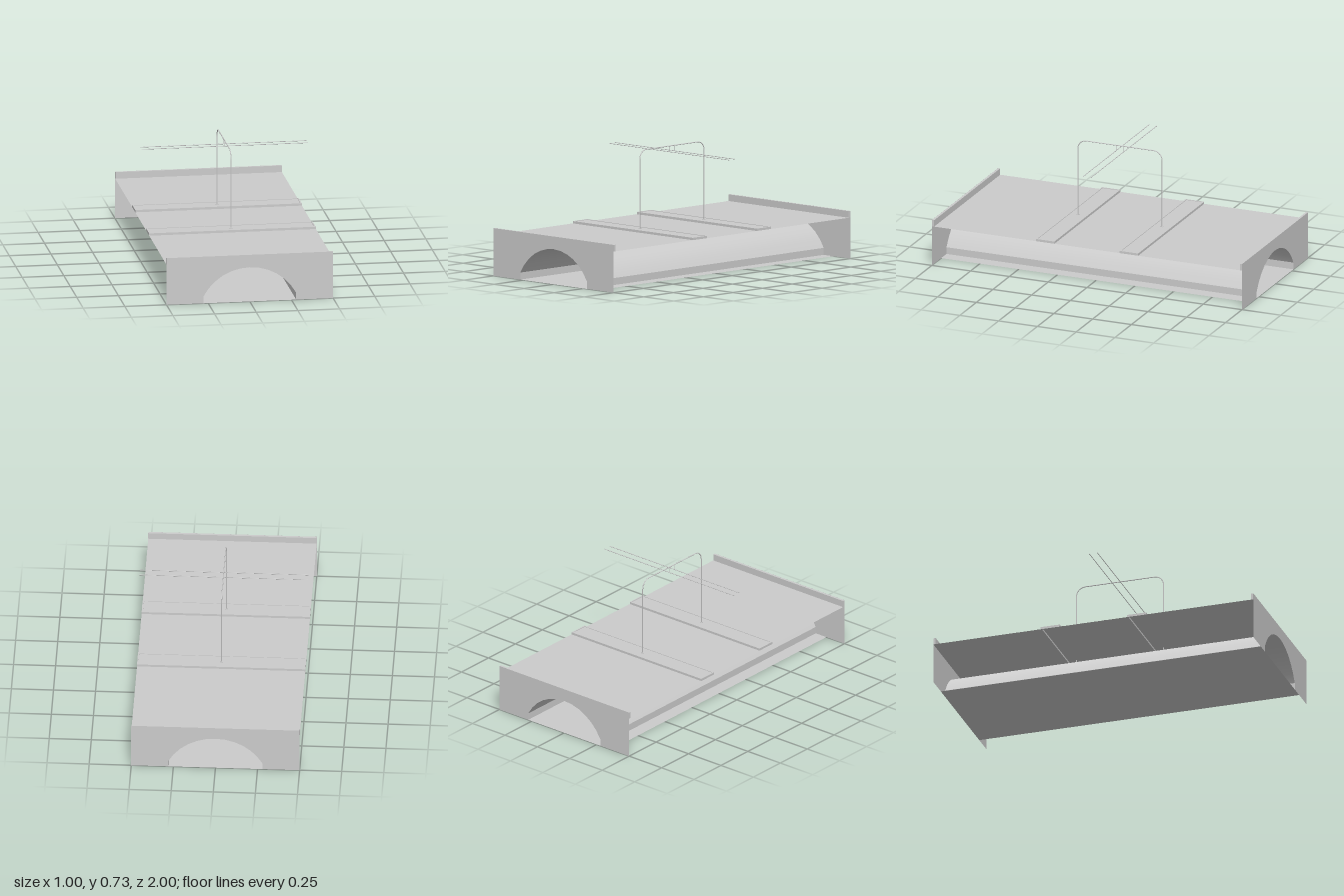
import * as THREE from 'three';

const DECK = 0.246, TOP = 0.286, CURB = 0.26;

export function createModel() {
  const model = new THREE.Group();
  const mat = new THREE.MeshStandardMaterial({ color: 0xcccccc, side: THREE.DoubleSide });

  const add = (name, geometry, x = 0, y = 0, z = 0) => {
    const mesh = new THREE.Mesh(geometry, mat);
    mesh.name = name;
    mesh.position.set(x, y, z);
    model.add(mesh);
    return mesh;
  };
  // Flat horizontal sheet, facing up
  const sheet = (name, w, d, x, y, z) =>
    add(name, new THREE.PlaneGeometry(w, d).rotateX(-Math.PI / 2), x, y, z);

  // Tunnel profile: short upright sides under a segmental arch
  const R = 0.314, CY = -0.104, half = Math.asin(0.278 / R), N = 12;
  const arch = [new THREE.Vector2(-0.278, 0)];
  for (let i = 0; i <= N; i++) {
    const a = -half + (2 * half * i) / N;
    arch.push(new THREE.Vector2(R * Math.sin(a), CY + R * Math.cos(a)));
  }
  arch.push(new THREE.Vector2(0.278, 0));

  // Tunnel lining: straight sides and a smooth vault, one strip along z
  const lining = (points, name) => {
    const g = new THREE.PlaneGeometry(1, 2, points.length - 1, 1);
    const p = g.attributes.position;
    for (let i = 0; i < p.count; i++) {
      const q = points[i % points.length];
      p.setXYZ(i, q.x, q.y, i < points.length ? 1 : -1);
    }
    g.computeVertexNormals();
    add(name, g);
  };
  lining(arch.slice(0, 2), 'tunnelSideRight');
  lining(arch.slice(1, -1), 'tunnelVault');
  lining(arch.slice(-2), 'tunnelSideLeft');
  sheet('tunnelFloor', 0.72, 2, 0, 0, 0);

  // End walls with the arched opening
  const wall = new THREE.Shape([
    new THREE.Vector2(-0.5, 0), ...arch, new THREE.Vector2(0.5, 0),
    new THREE.Vector2(0.5, TOP), new THREE.Vector2(-0.5, TOP),
  ]);

  // Road deck between and beside the islands
  sheet('trackBed', 1, 0.42, 0, DECK, 0);

  for (const s of [1, -1]) {
    const face = add('endWall', new THREE.ShapeGeometry(wall), 0, 0, s);
    if (s < 0) face.rotation.y = Math.PI;
    add('parapet', new THREE.BoxGeometry(1, TOP - DECK, 0.014), 0, (TOP + DECK) / 2, s * 0.9925);
    sheet('roadway', 1, 0.67, 0, DECK, s * 0.665);

    // Painted road lines
    for (const z of [0.35, 0.965]) sheet('edgeLine', 1, 0.01, 0, DECK + 0.0006, s * z);
    for (const x of [-0.28, 0, 0.28]) sheet('laneDash', 0.18, 0.008, x, DECK + 0.0006, s * 0.663);

    // Rails set flush in the track bed
    for (const z of [0.07, 0.195]) sheet('rail', 1, 0.012, 0, DECK + 0.0008, s * z);

    // Platform island: raised kerb frame around paving
    const kerb = new THREE.Shape();
    kerb.moveTo(-0.5, -0.06).lineTo(0.5, -0.06).lineTo(0.5, 0.06).lineTo(-0.5, 0.06).closePath();
    const hole = new THREE.Path();
    hole.moveTo(-0.492, -0.052).lineTo(-0.492, 0.052).lineTo(0.492, 0.052).lineTo(0.492, -0.052).closePath();
    kerb.holes.push(hole);
    const frame = new THREE.ExtrudeGeometry(kerb, { depth: CURB - DECK, bevelEnabled: false });
    add('islandKerb', frame.rotateX(-Math.PI / 2), 0, DECK, s * 0.27);
    sheet('islandPaving', 0.984, 0.104, 0, CURB - 0.003, s * 0.27);

    // Mast foot, wire hanger and overhead wire
    add('mastFoot', new THREE.CylinderGeometry(0.009, 0.009, 0.004, 12), 0, CURB - 0.002, s * 0.272);
    add('wireHanger', new THREE.CylinderGeometry(0.0015, 0.0015, 0.034, 6), 0, 0.712, s * 0.025);
    add('overheadWire', new THREE.CylinderGeometry(0.0022, 0.0022, 1, 6).rotateZ(Math.PI / 2), 0, 0.695, s * 0.025);
  }

  // Mast: one bent pipe over both tracks
  const V = (y, z) => new THREE.Vector3(0, y, z);
  const path = new THREE.CurvePath();
  const top = 0.729, z = 0.272, r = 0.055;
  path.add(new THREE.LineCurve3(V(DECK, z), V(top - r, z)));
  path.add(new THREE.CubicBezierCurve3(V(top - r, z), V(top - 0.45 * r, z), V(top, z - 0.45 * r), V(top, z - r)));
  path.add(new THREE.LineCurve3(V(top, z - r), V(top, r - z)));
  path.add(new THREE.CubicBezierCurve3(V(top, r - z), V(top, 0.45 * r - z), V(top - 0.45 * r, -z), V(top - r, -z)));
  path.add(new THREE.LineCurve3(V(top - r, -z), V(DECK, -z)));
  add('mast', new THREE.TubeGeometry(path, 120, 0.003, 8, false));

  return model;
}
